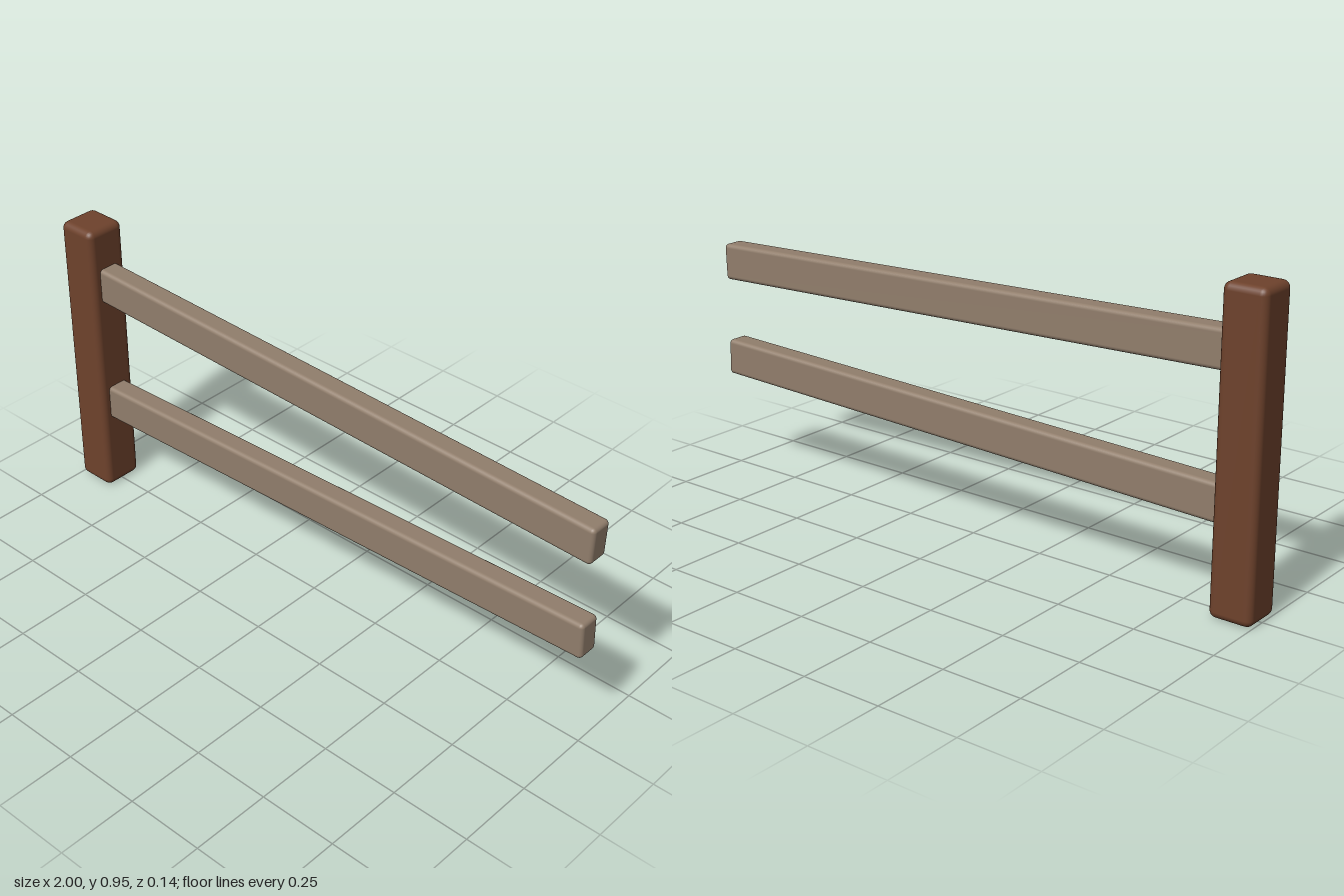
import * as THREE from 'three';
import { RoundedBoxGeometry } from 'three/addons/geometries/RoundedBoxGeometry.js';

const material = (name, color) => {
  const m = new THREE.MeshStandardMaterial({ color });
  m.name = name;
  return m;
};

export function createModel() {
  const group = new THREE.Group();
  group.name = 'fenceSection';
  const postWood = material('dark brown wood', 0x6e422c);
  const railWood = material('weathered wood', 0x917e6c);

  // Upright post at the right end
  const post = new THREE.Mesh(new RoundedBoxGeometry(0.135, 0.946, 0.135, 3, 0.022), postWood);
  post.name = 'post';
  post.position.set(-0.9325, 0.473, 0);
  group.add(post);

  // Two rails, set into the post and converging towards the free end
  const addRail = (name, yAtPost, yAtEnd) => {
    const start = new THREE.Vector2(-0.92, yAtPost);
    const end = new THREE.Vector2(0.998, yAtEnd);
    const rail = new THREE.Mesh(
      new RoundedBoxGeometry(start.distanceTo(end), 0.117, 0.072, 3, 0.013), railWood);
    rail.name = name;
    rail.position.set((start.x + end.x) / 2, (start.y + end.y) / 2, 0);
    rail.rotation.z = Math.atan2(end.y - start.y, end.x - start.x);
    group.add(rail);
  };
  addRail('upperRail', 0.754, 0.696);
  addRail('lowerRail', 0.319, 0.377);

  return group;
}
